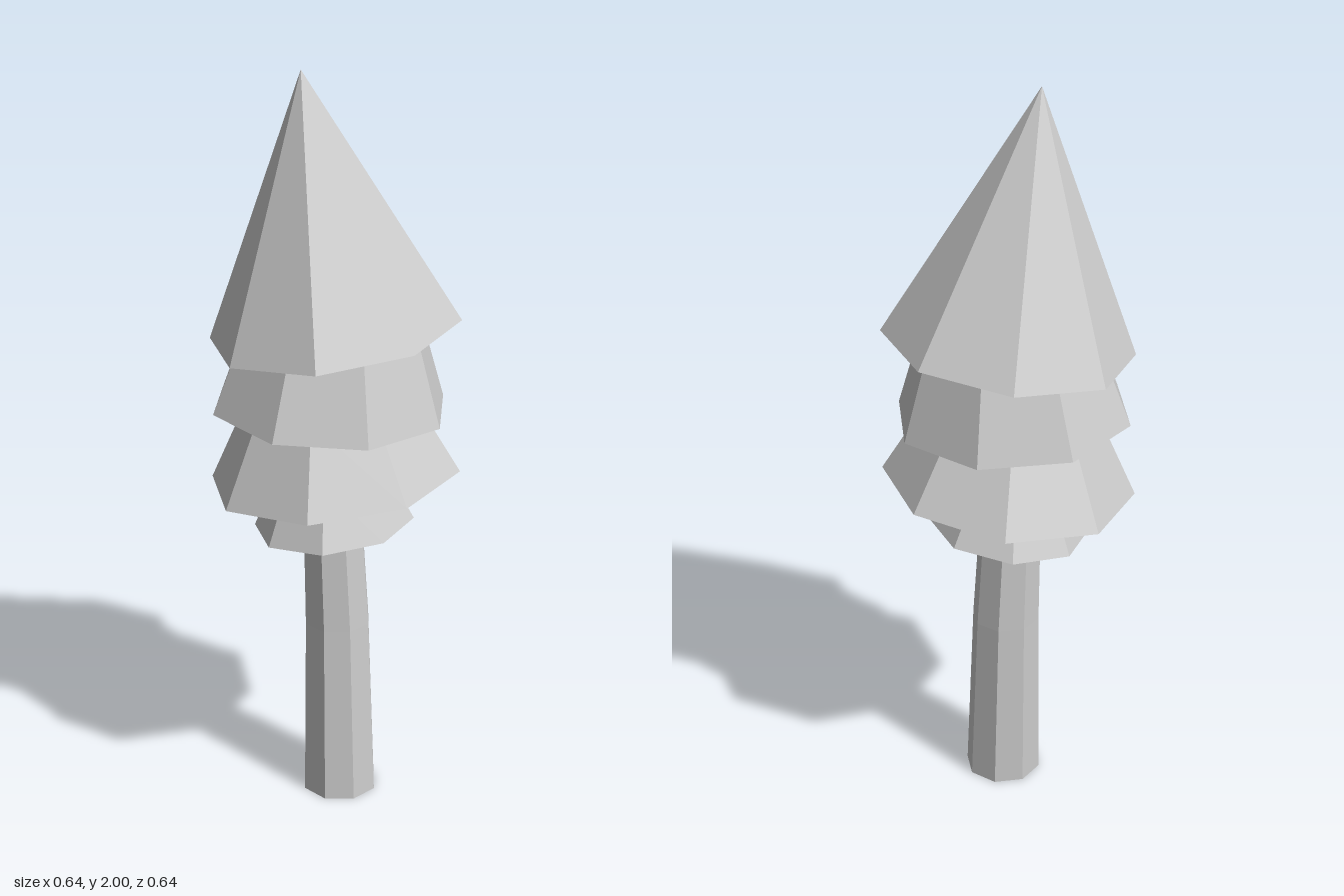
import * as THREE from 'three';

const SIDES = 8;

// One octagonal ring; slopeX and slopeZ tilt its plane, angle is in degrees from +x towards +z.
function ringPoints({ x = 0, y, z = 0, r, angle, slopeX = 0, slopeZ = 0 }) {
  return Array.from({ length: SIDES }, (_, i) => {
    const t = THREE.MathUtils.degToRad(angle) + (i / SIDES) * Math.PI * 2;
    const dx = r * Math.cos(t), dz = r * Math.sin(t);
    return [x + dx, y + slopeX * dx + slopeZ * dz, z + dz];
  });
}

// Faceted skin through a stack of rings, with an optional flat underside.
function loft(name, rings, capped) {
  const loops = rings.map(ringPoints);
  const pos = [];
  for (let k = 0; k < loops.length - 1; k++) {
    const lo = loops[k], hi = loops[k + 1];
    const pointed = rings[k + 1].r === 0;
    for (let i = 0; i < SIDES; i++) {
      const j = (i + 1) % SIDES;
      pos.push(...lo[i], ...hi[j], ...lo[j]);
      if (!pointed) pos.push(...lo[i], ...hi[i], ...hi[j]);
    }
  }
  if (capped) {
    const { x = 0, y, z = 0 } = rings[0];
    for (let i = 0; i < SIDES; i++) {
      pos.push(x, y, z, ...loops[0][i], ...loops[0][(i + 1) % SIDES]);
    }
  }
  const geometry = new THREE.BufferGeometry();
  geometry.setAttribute('position', new THREE.Float32BufferAttribute(pos, 3));
  geometry.computeVertexNormals();
  const material = new THREE.MeshStandardMaterial({
    color: 0xcccccc, flatShading: true, side: THREE.DoubleSide,
  });
  const mesh = new THREE.Mesh(geometry, material);
  mesh.name = name;
  return mesh;
}

export function createModel() {
  const tree = new THREE.Group();
  tree.name = 'pineTree';

  // Slightly bent, tapering trunk, open at the bottom
  tree.add(loft('trunk', [
    { x: -0.005, y: 0, z: 0.022, r: 0.103, angle: 27 },
    { x: 0, y: 0.5, z: 0.009, r: 0.091, angle: 27 },
    { x: -0.005, y: 0.8, z: -0.002, r: 0.083, angle: 27 },
  ], false));

  // Foliage tiers: each a tilted skirt whose top is tucked into the one above
  const tiers = [
    { name: 'lowestBranches', angle: 12, slopeX: 0.07, slopeZ: 0.08,
      base: { x: -0.003, y: 0.786, r: 0.213 }, top: { x: -0.008, y: 0.95, z: -0.008, r: 0.135 } },
    { name: 'lowerBranches', angle: 16, slopeX: 0.06, slopeZ: 0.088,
      base: { y: 0.922, r: 0.333 }, top: { x: -0.01, y: 1.15, z: -0.012, r: 0.213 } },
    { name: 'upperBranches', angle: 31.2, slopeX: -0.016, slopeZ: -0.03,
      base: { x: -0.011, y: 1.118, z: -0.007, r: 0.314 }, top: { y: 1.38, r: 0.225 } },
    { name: 'treeTop', angle: 12.3, slopeX: 0.088, slopeZ: 0.09,
      base: { y: 1.325, r: 0.327 }, top: { x: -0.06, y: 2, z: -0.058, r: 0 } },
  ];
  for (const { name, base, top, ...shared } of tiers) {
    tree.add(loft(name, [{ ...shared, ...base }, { ...shared, ...top }], true));
  }
  return tree;
}
